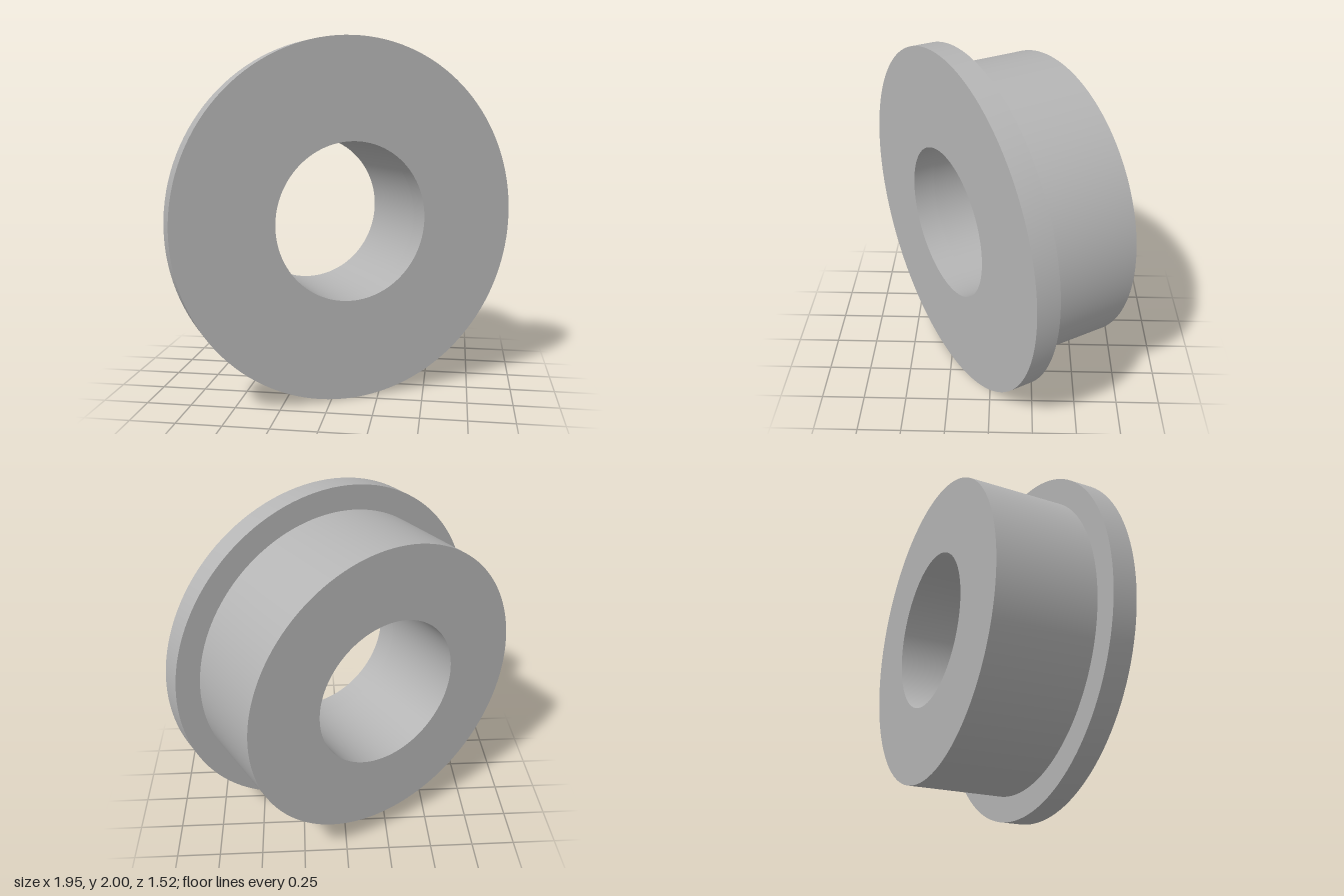
import * as THREE from 'three';
import { toCreasedNormals } from 'three/addons/utils/BufferGeometryUtils.js';

const BORE = 0.44, BODY = 0.86, FLANGE = 1;
const DEPTH = 0.686, FLANGE_DEPTH = 0.132;

// Surface turned from [radius, position along the axis] points, axis along z
function turned(points) {
  const profile = points.map(([r, a]) => new THREE.Vector2(r, a));
  const geometry = new THREE.LatheGeometry(profile, 128).rotateX(Math.PI / 2);
  return toCreasedNormals(geometry, 0.5);
}

export function createModel() {
  const grey = new THREE.MeshStandardMaterial({ color: 0xb4b4b4 });
  grey.name = 'plain grey';

  const front = DEPTH / 2, back = -front, step = front - FLANGE_DEPTH;
  const bushing = new THREE.Group();
  bushing.name = 'flangedBushing';

  // Sleeve: back face, outer wall and its part of the bore
  const sleeve = new THREE.Mesh(
    turned([[BORE, step], [BORE, back], [BODY, back], [BODY, step]]), grey);
  sleeve.name = 'sleeve';

  // Flange: rear shoulder, rim, front face and its part of the bore
  const flange = new THREE.Mesh(
    turned([[BODY, step], [FLANGE, step], [FLANGE, front], [BORE, front], [BORE, step]]), grey);
  flange.name = 'flange';

  bushing.add(sleeve, flange);

  // The axis is turned 30 degrees away from the front
  bushing.rotation.y = Math.PI / 6;
  bushing.position.set(-0.06, 1, -0.038);

  const model = new THREE.Group();
  model.name = 'model';
  model.add(bushing);
  return model;
}
